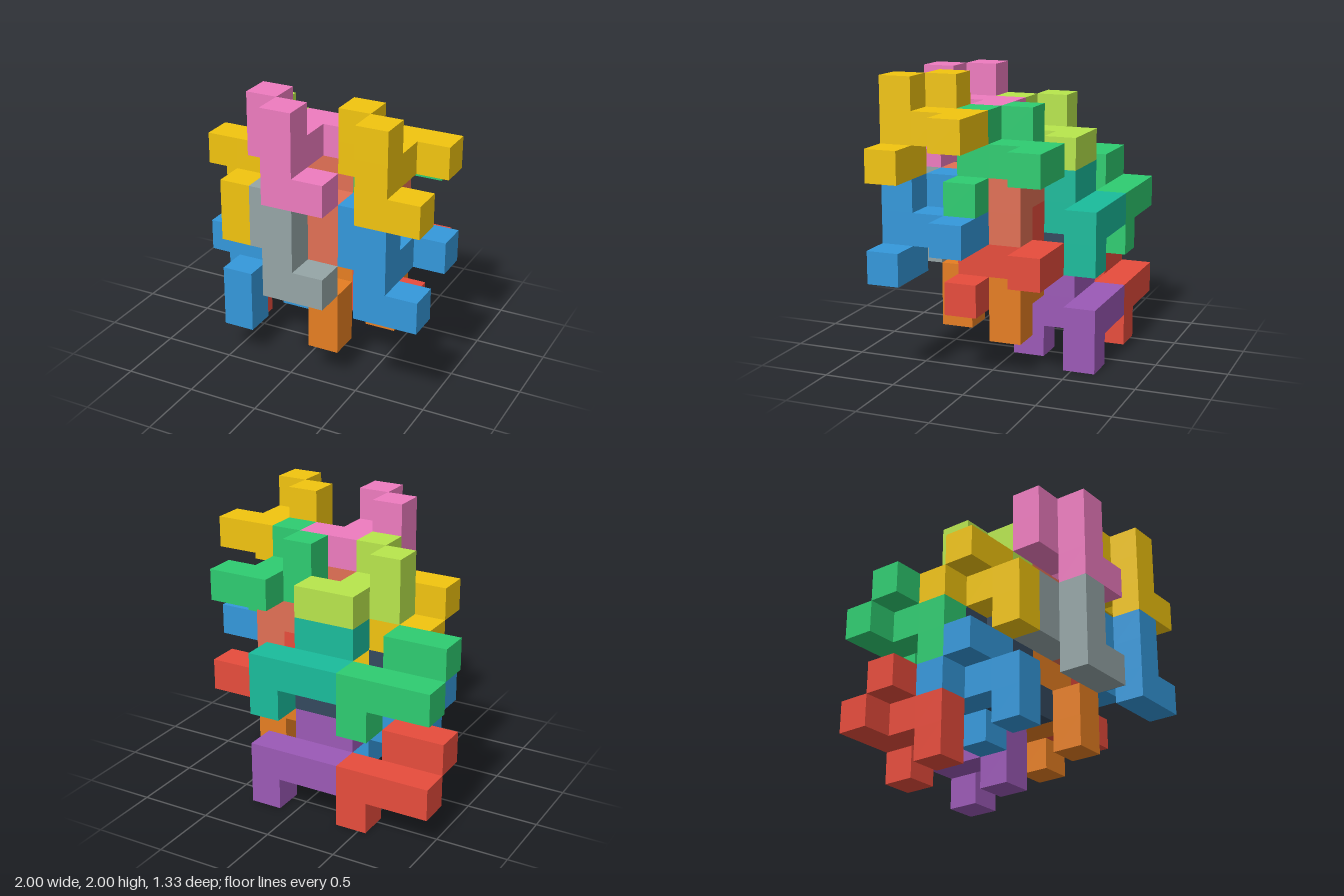
import * as THREE from 'three';
import { mergeGeometries } from 'three/addons/utils/BufferGeometryUtils.js';

const S = 2 / 9; // cell size; the block is 9 x 9 x 6 cells

// Nine-cell puzzle piece, as offsets from its centre cell
const UPRIGHT = [
  [0, 0, 0], [-1, 0, 0], [-1, 1, 0],
  [0, 1, 1], [0, 0, 1], [0, -1, 1], [1, -1, 1],
  [0, 0, -1], [1, 0, -1],
];
// The same piece given a half turn about the diagonal x = -y
const TURNED = UPRIGHT.map(([x, y, z]) => [-y, -x, -z]);

// name, colour, orientation, centre cell
const PIECES = [
  ['pinkPiece', 0xee7bbf, UPRIGHT, [4, 7, 4]],
  ['yellowLeftPiece', 0xf1c40f, UPRIGHT, [7, 7, 4]],
  ['greenLeftPiece', 0x2ecc71, UPRIGHT, [6, 6, 2]],
  ['limePiece', 0xb8e64c, UPRIGHT, [3, 6, 2]],
  ['greyPiece', 0x95a5a6, UPRIGHT, [4, 4, 4]],
  ['blueLeftPiece', 0x3498db, UPRIGHT, [7, 4, 4]],
  ['redLeftPiece', 0xe74c3c, UPRIGHT, [6, 3, 2]],
  ['navyPiece', 0x34495e, UPRIGHT, [3, 3, 2]],
  ['yellowRightPiece', 0xf1c40f, TURNED, [2, 5, 3]],
  ['salmonPiece', 0xe17055, TURNED, [5, 5, 3]],
  ['blueRightPiece', 0x3498db, TURNED, [2, 2, 3]],
  ['orangePiece', 0xe67e22, TURNED, [5, 2, 3]],
  ['greenRightPiece', 0x2ecc71, TURNED, [1, 4, 1]],
  ['tealPiece', 0x1abc9c, TURNED, [4, 4, 1]],
  ['redRightPiece', 0xe74c3c, TURNED, [1, 1, 1]],
  ['purplePiece', 0x9b59b6, TURNED, [4, 1, 1]],
];

const DIRECTIONS = [[1, 0, 0], [-1, 0, 0], [0, 1, 0], [0, -1, 0], [0, 0, 1], [0, 0, -1]];

// One square per outer cell face; faces shared by two cells of a piece are left out
function pieceGeometry(cells) {
  const filled = new Set(cells.map(String));
  const forward = new THREE.Vector3(0, 0, 1);
  const faces = [];
  for (const cell of cells) {
    for (const d of DIRECTIONS) {
      if (filled.has(String(cell.map((v, i) => v + d[i])))) continue;
      const normal = new THREE.Vector3(...d);
      const turn = d[2] === -1
        ? new THREE.Quaternion(0, 1, 0, 0)
        : new THREE.Quaternion().setFromUnitVectors(forward, normal);
      faces.push(new THREE.PlaneGeometry(S, S)
        .translate(0, 0, S / 2)
        .applyQuaternion(turn)
        .translate(cell[0] * S, cell[1] * S, cell[2] * S));
    }
  }
  return mergeGeometries(faces);
}

export function createModel() {
  const model = new THREE.Group();
  model.name = 'interlockingPuzzle';
  for (const [name, color, shape, [cx, cy, cz]] of PIECES) {
    const mesh = new THREE.Mesh(pieceGeometry(shape), new THREE.MeshStandardMaterial({ color }));
    mesh.name = name;
    mesh.position.set((cx - 4) * S, (cy + 0.5) * S, (cz - 2.5) * S);
    model.add(mesh);
  }
  return model;
}
